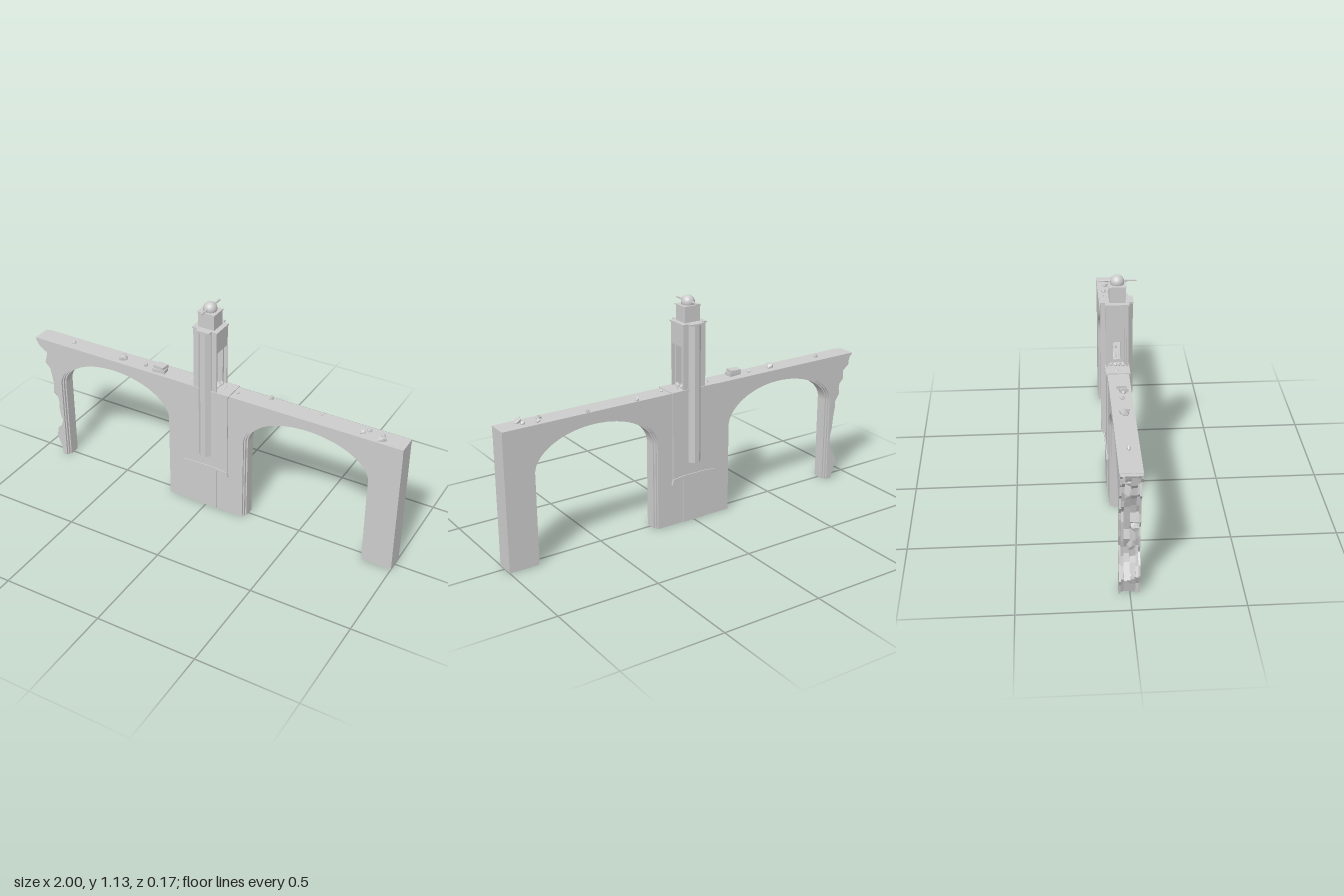
import * as THREE from 'three';

const mat = new THREE.MeshStandardMaterial({ color: 0xcccccc, flatShading: true });
const smooth = new THREE.MeshStandardMaterial({ color: 0xcccccc });
const ZC = -0.003; // wall centre line

function seeded(seed) {
  let s = seed;
  return () => (s = (s * 16807) % 2147483647) / 2147483647;
}

function add(parent, name, geo, x = 0, y = 0, z = 0, m = mat) {
  const mesh = new THREE.Mesh(geo, m);
  mesh.name = name;
  mesh.position.set(x, y, z);
  parent.add(mesh);
  return mesh;
}

// box given by its x, y and z ranges
function block(parent, name, x0, x1, y0, y1, z0, z1) {
  return add(parent, name, new THREE.BoxGeometry(x1 - x0, y1 - y0, z1 - z0),
    (x0 + x1) / 2, (y0 + y1) / 2, (z0 + z1) / 2);
}

const extrude = (shape, depth) =>
  new THREE.ExtrudeGeometry(shape, { depth, bevelEnabled: false, curveSegments: 28 });

// broken left edge, bottom to top
const BREAK = [[-0.885, 0], [-0.9, 0.06], [-0.925, 0.1], [-0.9, 0.155], [-0.878, 0.2], [-0.877, 0.24],
  [-0.9, 0.29], [-0.895, 0.34], [-0.91, 0.395], [-0.905, 0.43], [-0.92, 0.475], [-0.93, 0.52],
  [-0.953, 0.555], [-0.95, 0.6], [-0.98, 0.63], [-0.995, 0.66]];

// wall elevation with two arches; w widens the openings
function wallShape(w, rnd) {
  const s = new THREE.Shape();
  BREAK.forEach(([x, y], i) => {
    const px = x + rnd() * 0.022, py = i ? y + (rnd() - 0.5) * 0.02 : 0;
    i ? s.lineTo(px, py) : s.moveTo(px, py);
  });
  s.lineTo(-0.995, 0.678);
  s.lineTo(1, 0.678);
  s.lineTo(1, 0);
  for (const cx of [0.53, -0.53]) {
    const r = 0.31 + w;
    s.lineTo(cx + r, 0);
    s.lineTo(cx + r, 0.44);
    s.absellipse(cx, 0.44, r, 0.17 + w, 0, Math.PI, false);
    s.lineTo(cx - r, 0);
  }
  s.closePath();
  return s;
}

// slab facing x, with a rectangular hole through it
function framedSlab(parent, name, x0, x1, hz, hy0, hy1) {
  const s = new THREE.Shape([[-0.052, 0.68], [0.052, 0.68], [0.052, 1], [-0.052, 1]]
    .map(p => new THREE.Vector2(...p)));
  s.holes.push(new THREE.Path([[-hz, hy0], [-hz, hy1], [hz, hy1], [hz, hy0]]
    .map(p => new THREE.Vector2(...p))));
  add(parent, name, extrude(s, x1 - x0).rotateY(Math.PI / 2), x0, 0, ZC);
}

// irregular stone
function stone(parent, x, y, z, sx, sy, sz, rnd) {
  const geo = new THREE.IcosahedronGeometry(1, 0);
  const p = geo.attributes.position;
  const k = rnd() * 6;
  for (let i = 0; i < p.count; i++) {
    const f = 0.85 + 0.2 * Math.sin(p.getX(i) * 3 + p.getY(i) * 5 + p.getZ(i) * 7 + k);
    p.setXYZ(i, p.getX(i) * f, p.getY(i) * f, p.getZ(i) * f);
  }
  geo.computeVertexNormals();
  const m = add(parent, 'rubbleStone', geo, x, y, z);
  m.scale.set(sx, sy, sz);
  m.rotation.y = rnd() * 0.8;
}

export function createModel() {
  const model = new THREE.Group();
  model.name = 'ruinedArchedWall';
  const rnd = seeded(77);

  // wall in layers, so the arches step inward from both faces
  const wall = new THREE.Group();
  wall.name = 'archedWall';
  model.add(wall);
  const layers = [[-0.047, -0.038, 0.014], [-0.038, -0.026, 0.007], [-0.026, 0, 0],
    [0, 0.026, 0], [0.026, 0.038, 0.007], [0.038, 0.047, 0.014]];
  for (const [z0, z1, w] of layers)
    add(wall, 'wallLayer', extrude(wallShape(w, rnd), z1 - z0), 0, 0, z0 + ZC);
  block(wall, 'wallCap', -0.975, 1, 0.65, 0.68, ZC - 0.05, ZC + 0.05);

  // central pilaster and hanging panel with sagging lip, running through the wall
  block(model, 'centralPilaster', -0.06, 0.06, 0, 0.26, ZC - 0.051, ZC + 0.051);
  const panel = new THREE.Shape([[-0.122, 0.235], [-0.06, 0.25], [0.06, 0.25], [0.122, 0.235],
    [0.122, 0.678], [-0.122, 0.678]].map(p => new THREE.Vector2(...p)));
  add(model, 'centralPanel', extrude(panel, 0.106), 0, 0, ZC - 0.053);
  const lip = new THREE.Shape([[-0.13, 0.215], [-0.06, 0.238], [0.06, 0.238], [0.13, 0.215],
    [0.122, 0.243], [0.06, 0.25], [-0.06, 0.25], [-0.122, 0.243]].map(p => new THREE.Vector2(...p)));
  add(model, 'panelLip', extrude(lip, 0.116), 0, 0, ZC - 0.058);
  block(model, 'panelTop', -0.128, 0.128, 0.676, 0.684, ZC - 0.057, ZC + 0.057);

  // tower with stepped niches on both sides and a slot through the middle
  const tower = new THREE.Group();
  tower.name = 'tower';
  model.add(tower);
  framedSlab(tower, 'nichePartition', -0.015, 0.015, 0.018, 0.7, 0.79);
  for (const s of [-1, 1]) {
    const span = (a, b) => s > 0 ? [a, b] : [-b, -a];
    framedSlab(tower, 'nicheInnerFrame', ...span(0.015, 0.046), 0.035, 0.684, 0.882);
    framedSlab(tower, 'nicheOuterFrame', ...span(0.046, 0.062), 0.045, 0.684, 0.892);
    for (let i = 0; i < 4; i++)
      stone(tower, s * 0.045, 0.688, -0.03 + i * 0.018, 0.012, 0.009 + rnd() * 0.008, 0.01, rnd);
  }

  // chamfered buttresses, front and back
  const plan = new THREE.Shape([[-0.034, 0.04], [0.034, 0.04], [0.034, 0.054], [0.013, 0.075],
    [-0.013, 0.075], [-0.034, 0.054]].map(p => new THREE.Vector2(...p)));
  for (const turn of [0, Math.PI]) {
    const b = new THREE.Group();
    b.name = 'buttress';
    b.position.z = ZC;
    b.rotation.y = turn;
    // plan y becomes +z once the extrusion is laid upright
    const geo = extrude(plan, 0.69).rotateX(Math.PI / 2);
    add(b, 'buttressShaft', geo, 0, 1, 0);
    tower.add(b);
  }

  // tower cap, upper block and finial
  block(tower, 'towerCap', -0.067, 0.067, 0.997, 1.004, ZC - 0.056, ZC + 0.056);
  for (const s of [-1, 1])
    block(tower, 'buttressCap', -0.036, 0.036, 0.997, 1.004, ZC + s * 0.065 - 0.012, ZC + s * 0.065 + 0.012);
  block(tower, 'upperBlock', -0.042, 0.042, 1, 1.08, -0.038, 0.037);
  block(tower, 'upperBlockCap', -0.046, 0.046, 1.078, 1.083, -0.042, 0.041);
  add(tower, 'finialBall', new THREE.SphereGeometry(0.033, 24, 16), 0, 1.093, 0, smooth);
  add(tower, 'finialRod', new THREE.CylinderGeometry(0.005, 0.005, 0.174, 8).rotateX(Math.PI / 2), 0, 1.098, 0.001);

  // rubble along the wall top: x, z, half sizes
  const rubble = [[-0.79, 0, 0.013, 0.018, 0.013], [-0.49, 0, 0.033, 0.026, 0.026], [-0.36, 0, 0.013, 0.013, 0.015],
    [-0.31, 0.01, 0.018, 0.012, 0.014], [-0.1, -0.01, 0.014, 0.01, 0.012], [0.075, -0.01, 0.012, 0.01, 0.015],
    [0.15, 0, 0.01, 0.01, 0.01], [0.31, -0.04, 0.016, 0.022, 0.012], [0.57, -0.035, 0.01, 0.014, 0.014],
    [0.79, 0.01, 0.016, 0.018, 0.014], [0.81, -0.02, 0.018, 0.014, 0.014], [0.89, 0.018, 0.032, 0.024, 0.016],
    [0.88, -0.01, 0.015, 0.016, 0.014]];
  for (const [x, z, sx, sy, sz] of rubble) stone(model, x, 0.683, z, sx, sy, sz, rnd);
  block(model, 'fallenSlab', -0.305, -0.24, 0.68, 0.698, -0.01, 0.03).rotation.y = 0.1;
  block(model, 'fallenSlab', -0.3, -0.245, 0.694, 0.712, -0.02, 0.025).rotation.y = -0.1;

  // stones caught in the broken edge
  for (const [x, y] of [[-0.9, 0.1], [-0.885, 0.26], [-0.9, 0.37], [-0.93, 0.55], [-0.955, 0.63]])
    stone(model, x, y, ZC + (rnd() - 0.5) * 0.04, 0.022, 0.03, 0.03, rnd);

  return model;
}
